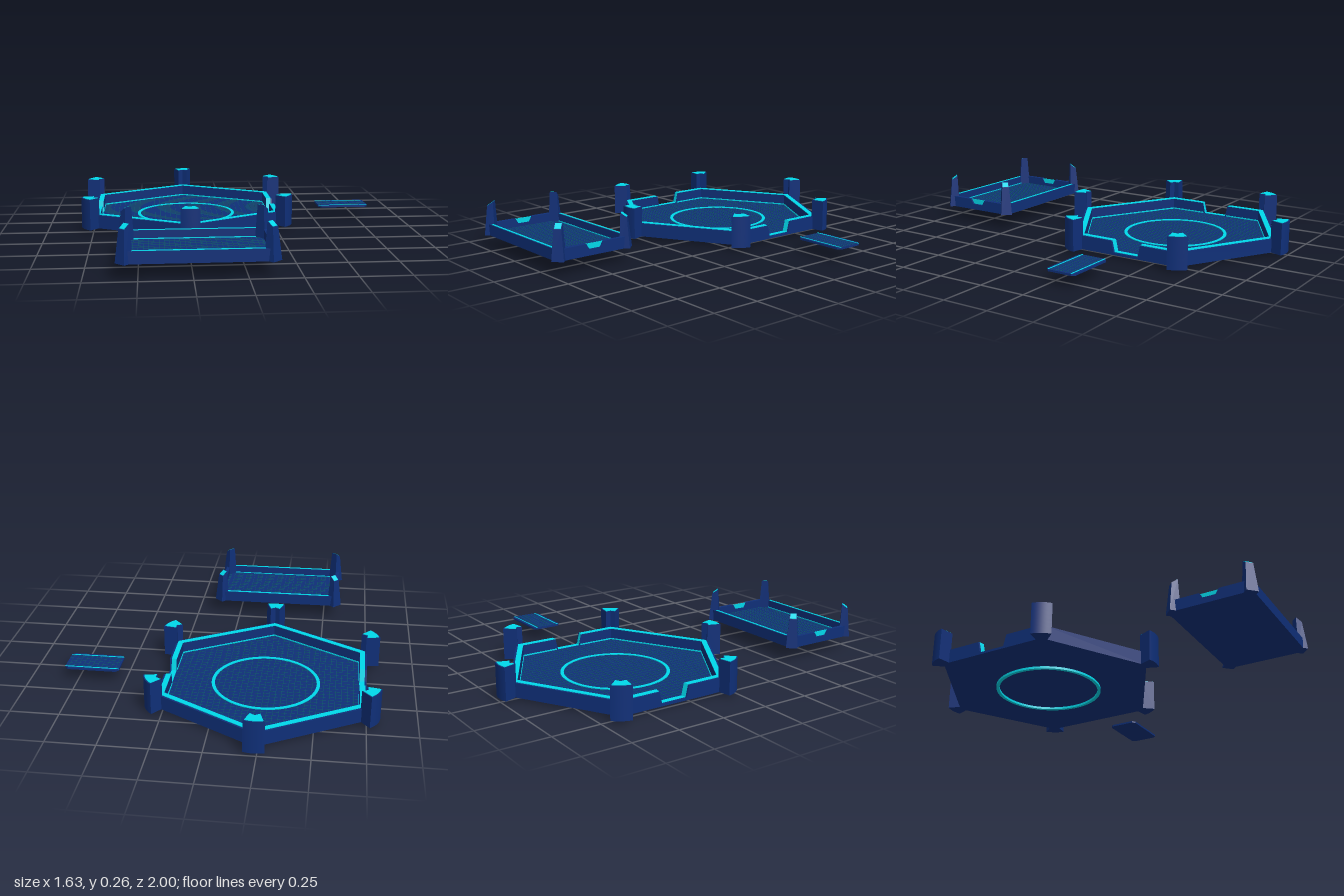
import * as THREE from 'three';

const navy = new THREE.MeshStandardMaterial({ color: 0x0f2f78 });
const cyan = new THREE.MeshStandardMaterial({ color: 0x00d8ea });
const teal = new THREE.MeshStandardMaterial({ color: 0x0b5566 });

function add(parent, name, geometry, material) {
  const mesh = new THREE.Mesh(geometry, material);
  mesh.name = name;
  parent.add(mesh);
  return mesh;
}

function group(parent, name, x = 0, z = 0, turn = 0) {
  const g = new THREE.Group();
  g.name = name;
  g.position.set(x, 0, z);
  g.rotation.y = turn;
  parent.add(g);
  return g;
}

const shapeOf = (pts) => new THREE.Shape(pts.map(([x, y]) => new THREE.Vector2(x, y)));

// Horizontal slab of a plan shape between two heights
function slab(shape, y0, y1) {
  const g = new THREE.ExtrudeGeometry(shape, { depth: y1 - y0, bevelEnabled: false, curveSegments: 64 });
  return g.rotateX(-Math.PI / 2).translate(0, y0, 0);
}

// Upright panel drawn in elevation, between two distances from the centre;
// mitre narrows it toward the centre so neighbouring walls meet
function panel(pts, outer, inner, mitreAt = 0) {
  const g = new THREE.ExtrudeGeometry(shapeOf(pts), { depth: outer - inner, bevelEnabled: false });
  g.translate(0, 0, inner);
  if (mitreAt) {
    const p = g.attributes.position;
    for (let i = 0; i < p.count; i++) p.setX(i, p.getX(i) * p.getZ(i) / mitreAt);
    g.computeVertexNormals();
  }
  return g;
}

function box(w, h, d, x, y, z) {
  return new THREE.BoxGeometry(w, h, d).translate(x, y, z);
}

const chamferRect = (a, b, c) => shapeOf([[-a, -b + c], [-a + c, -b], [a - c, -b], [a, -b + c],
  [a, b - c], [a - c, b], [-a + c, b], [-a, b - c]]);

// Fine floor grid; halfX and halfZ give the half length of a line at an offset
function grid(parent, y, limitX, limitZ, step, halfX, halfZ) {
  const g = group(parent, 'floorGrid');
  const w = 0.002;
  for (let i = -Math.floor(limitX / step); i * step <= limitX; i++)
    add(g, 'gridLine', box(w, 0.001, 2 * halfZ(i * step), i * step, y, 0), teal);
  for (let i = -Math.floor(limitZ / step); i * step <= limitZ; i++)
    add(g, 'gridLine', box(2 * halfX(i * step), 0.001, w, 0, y, i * step), teal);
}

function hexArena(parent) {
  const arena = group(parent, 'hexArena', -0.235, -0.345);
  const a = 0.517, R = a / Math.cos(Math.PI / 6), h = R / 2;
  const hex = [];
  for (let i = 0; i < 6; i++) {
    const t = Math.PI / 6 + i * Math.PI / 3;
    hex.push([R * Math.cos(t) * 0.99, R * Math.sin(t) * 0.99]);
  }
  add(arena, 'arenaFloor', slab(shapeOf(hex), 0.012, 0.025), navy);

  // Glowing circle set through the floor
  const ring = new THREE.Shape().absarc(0, 0, 0.28, 0, Math.PI * 2);
  ring.holes.push(new THREE.Path().absarc(0, 0, 0.263, 0, Math.PI * 2, true));
  add(arena, 'centreRing', slab(ring, 0, 0.029), cyan);

  const ai = a - 0.04, Ri = ai / Math.cos(Math.PI / 6);
  grid(arena, 0.0255, ai, Ri - 0.01, 0.03,
    (z) => Math.min(ai, (Ri - Math.abs(z)) * Math.sqrt(3)),
    (x) => Ri - Math.abs(x) / Math.sqrt(3));

  // Six walls, two of them with a gateway notch
  for (let k = 0; k < 6; k++) {
    const side = group(arena, 'wallSide', 0, 0, Math.PI / 2 + k * Math.PI / 3);
    const notch = k % 3 === 0 ? [[-0.086, 0.085], [-0.071, 0.024], [0.071, 0.024], [0.086, 0.085]] : [];
    const top = [[-h, 0.085], ...notch, [h, 0.085]];
    const lift = top.map(([x, y]) => [x, y + 0.003]).reverse();
    add(side, 'wall', panel([[h, 0.012], ...top.slice().reverse(), [-h, 0.012]], a, a - 0.038, a), navy);
    add(side, 'wallRim', panel([...top, ...lift], a - 0.01, a - 0.037, a), cyan);
    const spans = notch.length ? [[-h, -0.08], [0.08, h]] : [[-h, h]];
    for (const [l, r] of spans)
      add(side, 'baseTrim', panel([[l, 0.025], [r, 0.025], [r, 0.032], [l, 0.032]], a - 0.036, a - 0.041, a), cyan);
  }

  // Wedge pillars outside the six corners
  const c = 0.507, half = 0.36;
  const wedge = (radius, inner, spread) => {
    const s = new THREE.Shape();
    s.moveTo(inner + 0.016, 0);
    s.lineTo(inner, -(inner - c) * Math.tan(spread));
    s.lineTo(c + radius * Math.cos(spread), -radius * Math.sin(spread));
    s.absarc(c, 0, radius, -spread, spread);
    s.lineTo(inner, (inner - c) * Math.tan(spread));
    s.closePath();
    return s;
  };
  for (let k = 0; k < 6; k++) {
    const corner = group(arena, 'cornerPillar', 0, 0, Math.PI / 6 + k * Math.PI / 3);
    add(corner, 'pillar', slab(wedge(0.145, 0.574, half), 0.012, 0.18), navy);
    add(corner, 'pillarCap', slab(wedge(0.139, 0.58, half * 0.9), 0.18, 0.183), cyan);
  }
}

// Tapered post leaning in toward the top; v0..v1 is the height fraction, inset shrinks the plan
function postGeometry(v0, v1, inset = 0) {
  const g = new THREE.BoxGeometry(1, 1, 1).toNonIndexed();
  const p = g.attributes.position, mix = THREE.MathUtils.lerp;
  for (let i = 0; i < p.count; i++) {
    const u = p.getX(i) * (1 - inset) + 0.5, s = p.getZ(i) * (1 - inset);
    const v = p.getY(i) < 0 ? v0 : v1;
    const r = mix(mix(-0.026, -0.02, v), mix(0.028, 0.012, v), u);
    p.setXYZ(i, r, mix(0.075, mix(0.255, 0.232, u), v), s * mix(0.062, 0.038, v));
  }
  g.computeVertexNormals();
  return g;
}

function tray(parent) {
  const t = group(parent, 'tray', -0.225, 0.765);
  const a = 0.355, b = 0.217, c = 0.03, th = 0.02;
  add(t, 'trayFloor', slab(chamferRect(a, b, c), 0.075, 0.09), navy);
  grid(t, 0.0905, a - th, b - th, 0.025, () => a - th, () => b - th);

  for (const turn of [0, Math.PI]) {
    // Long walls with a light strip on top
    const long = group(t, 'longWall', 0, 0, turn), l = a - c;
    add(long, 'wall', panel([[-l, 0.076], [l, 0.076], [l, 0.134], [-l, 0.134]], b, b - th), navy);
    add(long, 'wallStrip', box(2 * l - 0.05, 0.003, 0.011, 0, 0.135, b - 0.011), cyan);
    add(long, 'baseTrim', box(2 * l, 0.005, 0.003, 0, 0.093, b - th - 0.001), cyan);

    // Short walls with a notch and a lit insert
    const short = group(t, 'shortWall', 0, 0, turn + Math.PI / 2), s = b - c;
    const notch = [[0.05, 0.135], [0.033, 0.107], [-0.033, 0.107], [-0.05, 0.135]];
    add(short, 'wall', panel([[-s, 0.076], [s, 0.076], [s, 0.135], ...notch, [-s, 0.135]], a, a - th), navy);
    add(short, 'notchInsert', panel(notch.map(([x, y]) => [x, y - 0.001]), a - 0.01, a - 0.014), cyan);
  }

  // Corner posts set on the diagonals
  for (const sx of [-1, 1]) for (const sz of [-1, 1]) {
    const post = group(t, 'cornerPost', sx * 0.335, sz * 0.195, Math.atan2(-sz, sx));
    add(post, 'post', postGeometry(0, 1), navy);
    add(post, 'postCap', postGeometry(0.98, 1.012, 0.15), cyan);
  }
}

function smallPlate(parent) {
  const p = group(parent, 'smallPlate', 0.673, -0.32);
  add(p, 'plate', slab(chamferRect(0.143, 0.082, 0.016), 0.064, 0.074), navy);
  for (const s of [-1, 1])
    add(p, 'plateStrip', box(0.284, 0.002, 0.007, 0, 0.0745, s * 0.066), cyan);
  grid(p, 0.0743, 0.13, 0.06, 0.025, () => 0.14, () => 0.064);
}

export function createModel() {
  const model = new THREE.Group();
  model.name = 'arenaSet';
  hexArena(model);
  tray(model);
  smallPlate(model);
  return model;
}
